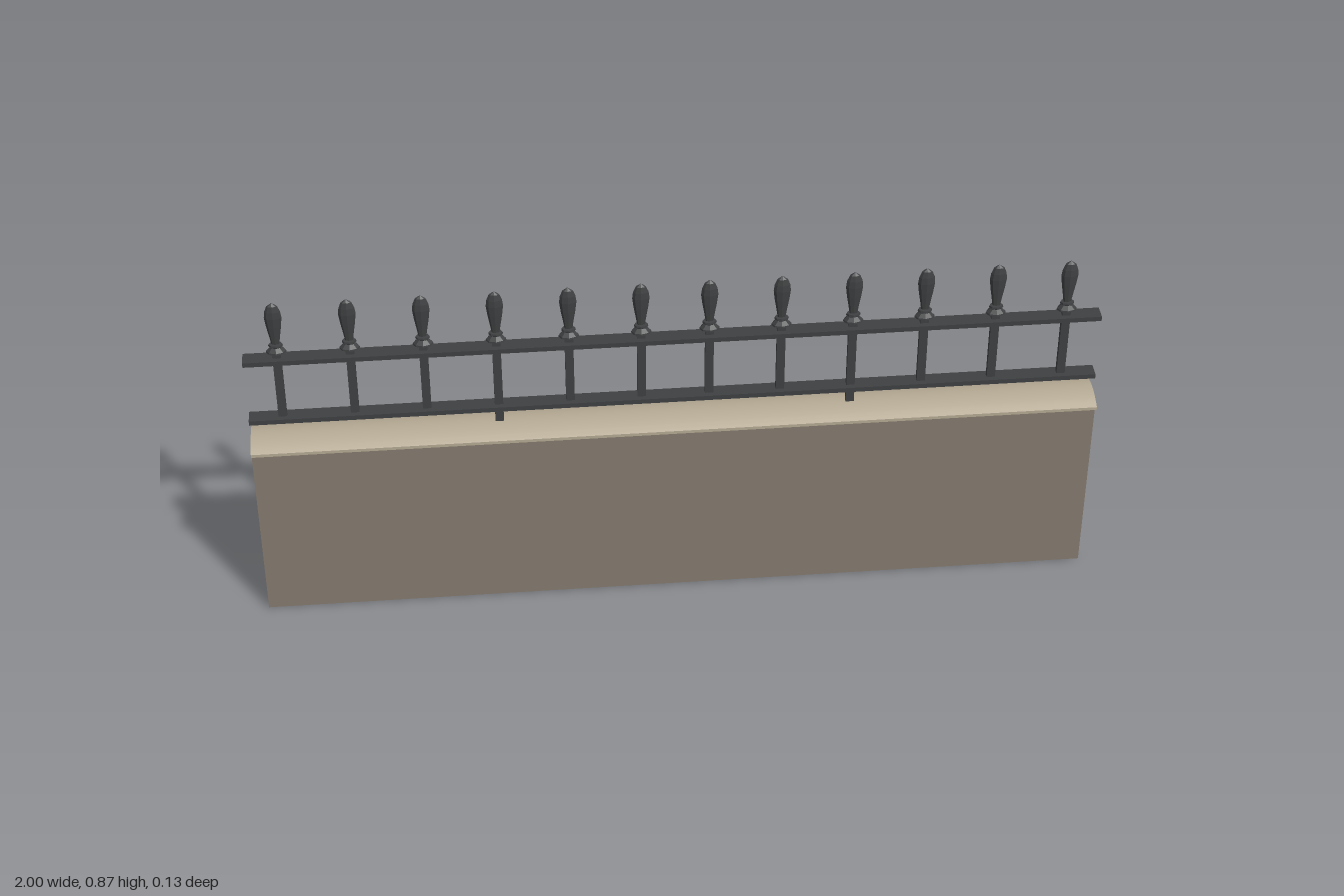
import * as THREE from 'three';
import { toCreasedNormals } from 'three/addons/utils/BufferGeometryUtils.js';

const mat = (name, color, extra = {}) => {
  const m = new THREE.MeshStandardMaterial({ color, ...extra });
  m.name = name;
  return m;
};

// Sweeps a [z, y] profile along x from -1 to 1, leaving the ends open
function sweep(profile) {
  const pos = [];
  for (let i = 0; i < profile.length - 1; i++) {
    const [z0, y0] = profile[i], [z1, y1] = profile[i + 1];
    pos.push(-1, y0, z0, 1, y0, z0, 1, y1, z1, -1, y0, z0, 1, y1, z1, -1, y1, z1);
  }
  const g = new THREE.BufferGeometry();
  g.setAttribute('position', new THREE.Float32BufferAttribute(pos, 3));
  return toCreasedNormals(g, 0.5);
}

// Eight-sided turned piece, flattened in z; profile is [radius, y]
function turned(profile, flat) {
  const g = new THREE.LatheGeometry(profile.map(([r, y]) => new THREE.Vector2(r, y)), 8);
  return g.scale(1, 1, flat);
}

export function createModel() {
  const model = new THREE.Group();
  model.name = 'railingWall';
  const stone = mat('wallStone', 0x857a6f, { side: THREE.DoubleSide });
  const coping = mat('copingStone', 0xb5aa94, { side: THREE.DoubleSide });
  const iron = mat('darkIron', 0x3e4041, { side: THREE.DoubleSide });
  const finialIron = iron.clone();
  finialIron.name = 'finialIron';
  finialIron.flatShading = true;

  const add = (parent, name, geometry, material) => {
    const mesh = new THREE.Mesh(geometry, material);
    mesh.name = name;
    parent.add(mesh);
    return mesh;
  };

  // Wall: two upright faces with open ends
  add(model, 'wallFront', sweep([[0.046, 0], [0.046, 0.48]]), stone);
  add(model, 'wallBack', sweep([[-0.046, 0.48], [-0.046, 0]]), stone);

  // Rounded coping with a small lip and overhang
  const cap = [[0.046, 0.478], [0.063, 0.478]];
  for (let i = 0; i <= 10; i++) {
    const t = -1 + i / 5;
    cap.push([-0.063 * t, 0.502 - 0.016 * t * t]);
  }
  cap.push([-0.063, 0.478], [-0.046, 0.478]);
  add(model, 'coping', sweep(cap), coping);

  // Flat rails, open at the ends
  for (const [name, y] of [['lowerRail', 0.545], ['upperRail', 0.713]]) {
    const a = y - 0.006, b = y + 0.006, w = 0.019;
    add(model, name, sweep([[w, a], [w, b], [-w, b], [-w, a], [w, a]]), iron);
  }

  // Bars with collar and spear-shaped finial
  const collar = turned([[0.001, 0.734], [0.024, 0.734], [0.023, 0.738], [0.013, 0.748],
    [0.017, 0.751], [0.016, 0.756], [0.001, 0.757]], 0.7);
  const finial = turned([[0.009, 0.755], [0.012, 0.775], [0.017, 0.805], [0.02, 0.83],
    [0.018, 0.847], [0.012, 0.862], [0.0005, 0.87]], 0.5);
  const bar = (bottom) => new THREE.BoxGeometry(0.02, 0.738 - bottom, 0.012)
    .translate(0, (0.738 + bottom) / 2, 0);
  const shortBar = bar(0.545), longBar = bar(0.497);

  for (let i = 0; i < 12; i++) {
    const post = new THREE.Group();
    post.name = 'post';
    // Two runs of six, slightly closer together at the middle
    post.position.x = i < 6 ? -0.921 + i * 0.168 : 0.078 + (i - 6) * 0.168;
    add(post, 'bar', i === 3 || i === 8 ? longBar : shortBar, iron);
    add(post, 'collar', collar, finialIron);
    add(post, 'finial', finial, finialIron);
    model.add(post);
  }
  return model;
}
